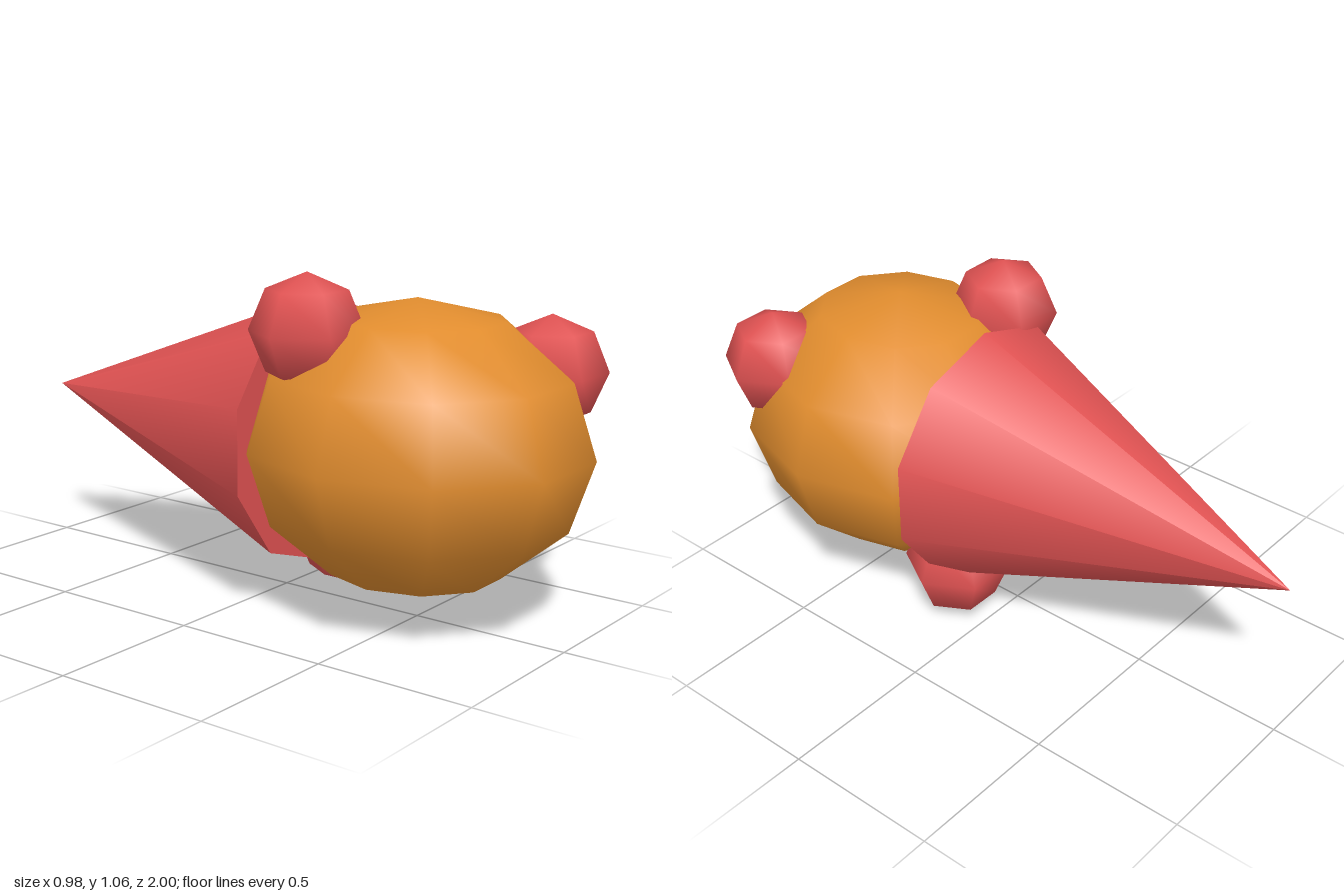
import * as THREE from 'three';

export function createModel() {
  const group = new THREE.Group();
  const orange = new THREE.MeshStandardMaterial({ color: 0xe08c2e });
  orange.name = 'orange';
  const red = new THREE.MeshStandardMaterial({ color: 0xe05252 });
  red.name = 'red';

  function add(name, geometry, material, x, y, z) {
    const mesh = new THREE.Mesh(geometry, material);
    mesh.name = name;
    mesh.position.set(x, y, z);
    group.add(mesh);
    return mesh;
  }

  // Stretched low-sided ball
  add('body', new THREE.SphereGeometry(1, 10, 6), orange, 0, 0.532, 0.482)
    .scale.set(0.492, 0.443, 0.544);

  // Cone with its tip pointing backward
  const cone = new THREE.ConeGeometry(0.422, 1.13, 10).rotateX(-Math.PI / 2);
  add('backCone', cone, red, 0, 0.532, -0.435);

  // Three small balls set into the body
  const ball = new THREE.SphereGeometry(0.172, 6, 4);
  add('topBall', ball, red, -0.25, 0.887, 0.267);
  add('frontBall', ball, red, 0.283, 0.747, 0.77);
  add('bottomBall', ball, red, 0.142, 0.175, 0.135);

  return group;
}
